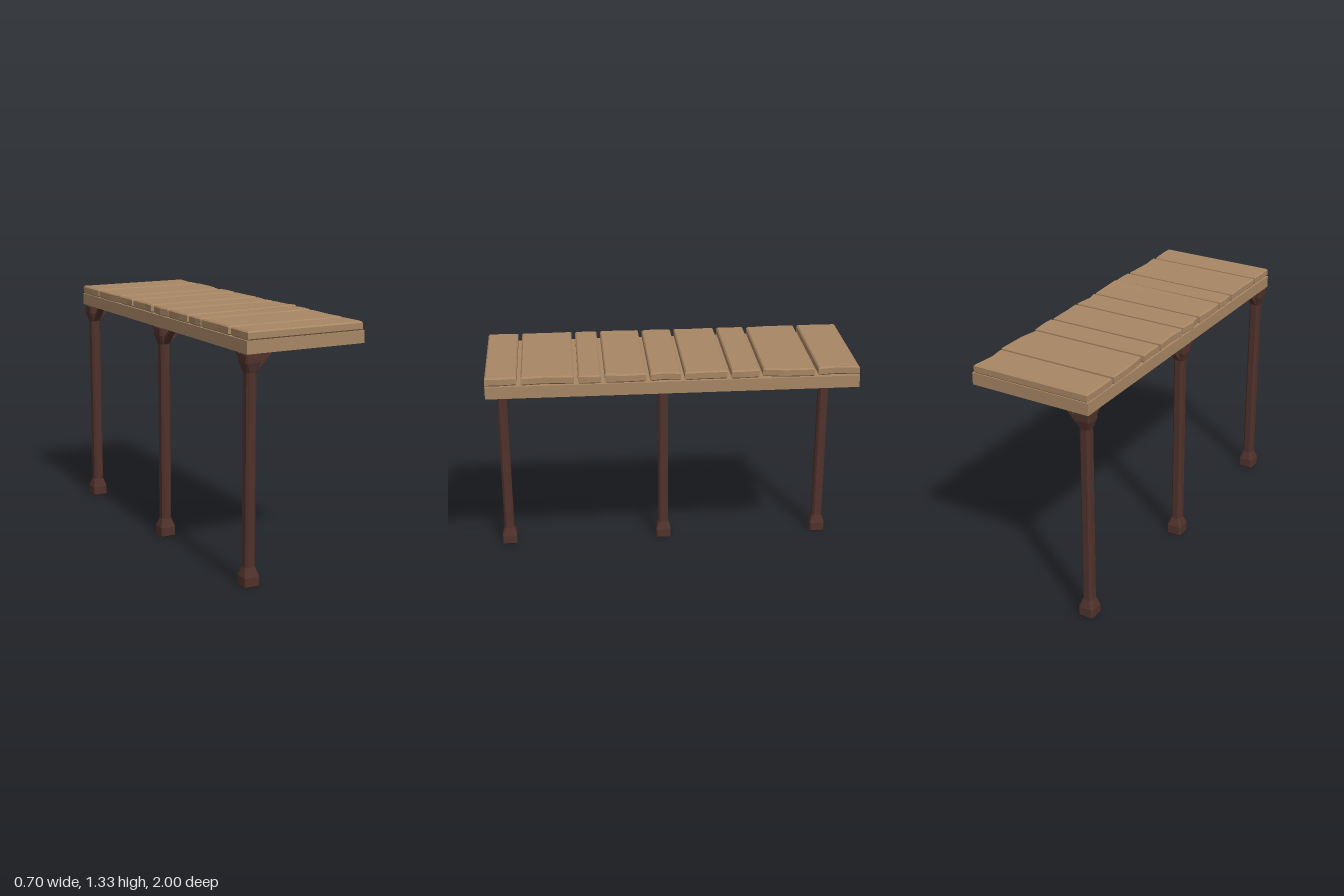
import * as THREE from 'three';

const wood = new THREE.MeshStandardMaterial({ color: 0xa88664, flatShading: true });
const darkWood = new THREE.MeshStandardMaterial({ color: 0x50322b, flatShading: true });

const POST_X = -0.3;
const UNDERSIDE = 1.213, DECK_TOP = 1.28;

// Post: stacked chamfered squares, [height, half width, corner chamfer]
const POST_RINGS = [
  [0, 0.038, 0.008], [0.007, 0.044, 0.008], [0.055, 0.044, 0.008], [0.103, 0.029, 0.012],
  [1.113, 0.029, 0.012], [1.165, 0.044, 0.008], [1.206, 0.044, 0.008], [1.213, 0.038, 0.008],
];

function postGeometry() {
  const pos = [], index = [];
  for (const [y, h, c] of POST_RINGS) {
    const k = h - c;
    for (const [x, z] of [[h, -k], [h, k], [k, h], [-k, h], [-h, k], [-h, -k], [-k, -h], [k, -h]]) pos.push(x, y, z);
  }
  for (let r = 0; r < POST_RINGS.length - 1; r++) {
    for (let i = 0; i < 8; i++) {
      const a = r * 8 + i, b = r * 8 + (i + 1) % 8;
      index.push(a, a + 8, b, b, a + 8, b + 8);
    }
  }
  const top = (POST_RINGS.length - 1) * 8;
  for (let i = 1; i < 7; i++) {
    index.push(0, i, i + 1);
    index.push(top, top + i + 1, top + i);
  }
  const geo = new THREE.BufferGeometry();
  geo.setAttribute('position', new THREE.Float32BufferAttribute(pos, 3));
  geo.setIndex(index);
  geo.computeVertexNormals();
  return geo;
}

// Diagonal strut running outward along +x, cut level under the deck
function braceGeometry() {
  const s = new THREE.Shape([
    new THREE.Vector2(0.022, 1.108), new THREE.Vector2(0.127, UNDERSIDE),
    new THREE.Vector2(0.1, UNDERSIDE), new THREE.Vector2(0.022, 1.135),
  ]);
  const geo = new THREE.ExtrudeGeometry(s, { depth: 0.034, bevelEnabled: false });
  return geo.translate(0, 0, -0.017);
}

// Planks: [back z, front z, left-hand edge x (back, middle, front), right-hand edge x (back, middle, front)]
const PLANKS = [
  [-1.0, -0.776, [-0.344, -0.347, -0.345], [0.336, 0.323, 0.334]],
  [-0.755, -0.479, [-0.346, -0.346, -0.335], [0.341, 0.338, 0.318]],
  [-0.458, -0.307, [-0.345, -0.341, -0.343], [0.333, 0.34, 0.338]],
  [-0.286, -0.058, [-0.344, -0.338, -0.345], [0.333, 0.335, 0.341]],
  [-0.037, 0.127, [-0.338, -0.348, -0.335], [0.339, 0.326, 0.339]],
  [0.148, 0.366, [-0.342, -0.346, -0.343], [0.336, 0.342, 0.338]],
  [0.387, 0.509, [-0.342, -0.345, -0.34], [0.341, 0.343, 0.338]],
  [0.53, 0.81, [-0.345, -0.341, -0.345], [0.337, 0.329, 0.34]],
  [0.832, 1.0, [-0.342, -0.345, -0.343], [0.332, 0.34, 0.336]],
];

function plankGeometry([z0, z1, left, right]) {
  const zs = [z0, z0 + (z1 - z0) * 0.6, z1];
  const pts = [
    ...zs.map((z, i) => new THREE.Vector2(left[i], -z)),
    ...zs.map((z, i) => new THREE.Vector2(right[i], -z)).reverse(),
  ];
  const bevel = 0.007;
  const geo = new THREE.ExtrudeGeometry(new THREE.Shape(pts), {
    depth: 0.046 - 2 * bevel, bevelThickness: bevel, bevelSize: bevel, bevelOffset: -bevel, bevelSegments: 1,
  });
  return geo.rotateX(-Math.PI / 2).translate(0, DECK_TOP + bevel, 0);
}

export function createModel() {
  const model = new THREE.Group();
  const add = (parent, name, geo, mat) => {
    const mesh = new THREE.Mesh(geo, mat);
    mesh.name = name;
    parent.add(mesh);
    return mesh;
  };

  // Solid deck base
  const base = add(model, 'deckBase', new THREE.BoxGeometry(0.695, DECK_TOP - UNDERSIDE, 2), wood);
  base.position.y = (DECK_TOP + UNDERSIDE) / 2;

  // Uneven planks
  const planks = new THREE.Group();
  planks.name = 'planks';
  model.add(planks);
  PLANKS.forEach((p, i) => {
    const geo = plankGeometry(p);
    if (i === 5) {
      // One plank is warped up at its front corner
      const a = geo.attributes.position;
      for (let v = 0; v < a.count; v++) {
        if (a.getX(v) > 0 && a.getZ(v) > 0.33 && a.getY(v) > 1.3) a.setY(v, a.getY(v) + 0.006);
      }
      geo.computeVertexNormals();
    }
    add(planks, 'plank' + (i + 1), geo, wood);
  });

  // Posts along one side, with braces across and along the deck
  const post = postGeometry(), brace = braceGeometry();
  const ALONG_BACK = Math.PI / 2, ALONG_FRONT = -Math.PI / 2;
  const supports = [
    ['frontSupport', 0.946, [0, ALONG_BACK]],
    ['middleSupport', 0.008, [0, ALONG_BACK, ALONG_FRONT]],
    ['backSupport', -0.944, [0, ALONG_FRONT]],
  ];
  for (const [name, z, turns] of supports) {
    const g = new THREE.Group();
    g.name = name;
    g.position.set(POST_X, 0, z);
    add(g, 'post', post, darkWood);
    for (const t of turns) add(g, 'brace', brace, darkWood).rotation.y = t;
    model.add(g);
  }
  return model;
}
